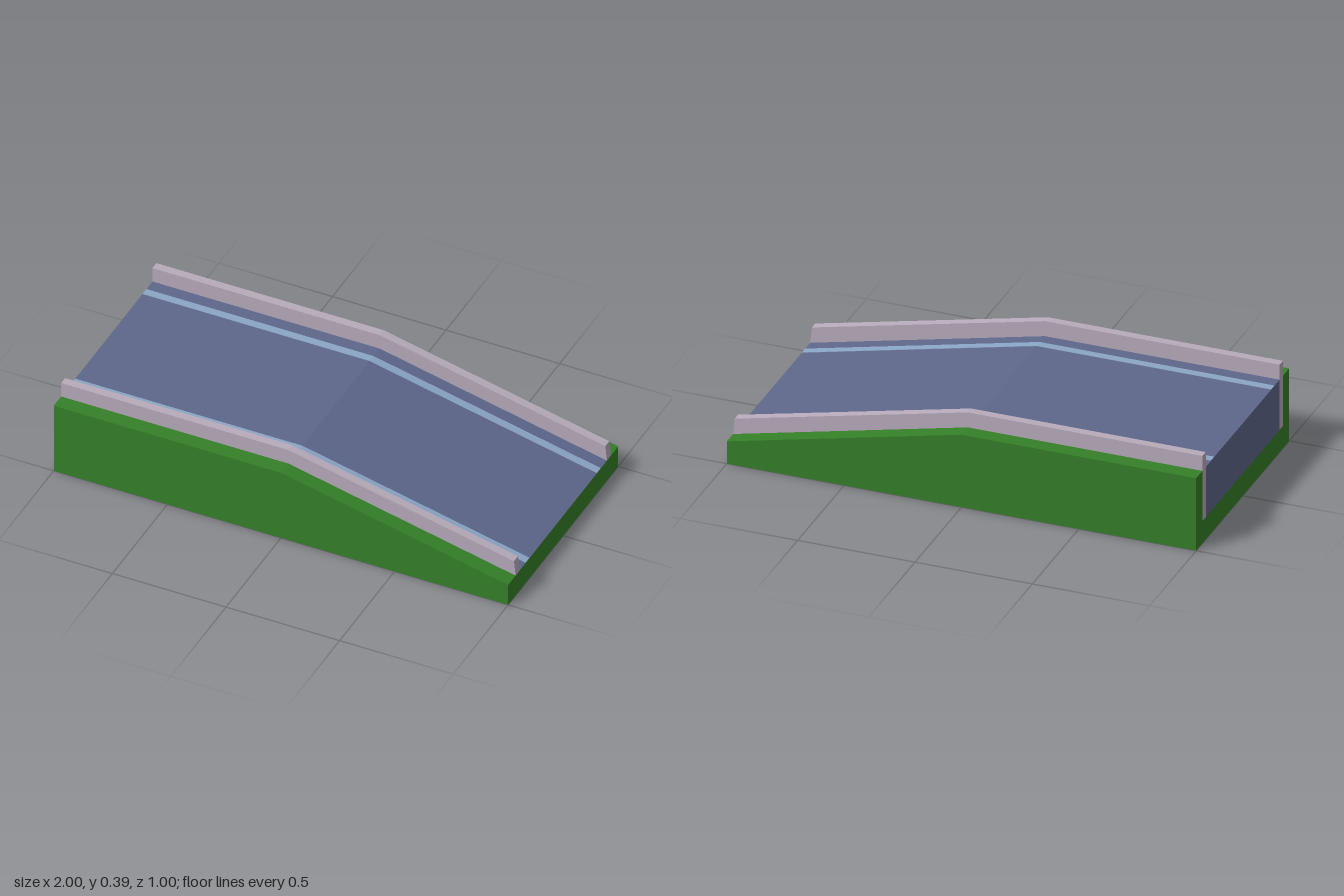
import * as THREE from 'three';

const GRASS = 0x358029, ROAD = 0x5d678a, STRIPE = 0x8aa5c6, RAIL = 0xb8abbb;
const HIGH = 0.325, LOW = 0.1; // deck height at the level end and at the foot of the ramp

// Extrudes a side profile of [x, y] points across the width from z0 to z1
function slab(name, color, profile, z0, z1) {
  const shape = new THREE.Shape(profile.map(([x, y]) => new THREE.Vector2(x, y)));
  const geometry = new THREE.ExtrudeGeometry(shape, { depth: z1 - z0, bevelEnabled: false });
  geometry.translate(0, 0, z0);
  const mesh = new THREE.Mesh(geometry, new THREE.MeshStandardMaterial({ color, flatShading: true }));
  mesh.name = name;
  return mesh;
}

export function createModel() {
  const group = new THREE.Group();
  group.name = 'rampRoad';

  // Grass bed under the road
  group.add(slab('grassBed', GRASS, [[-1, 0], [1, 0], [1, LOW], [-1, LOW]], -0.433, 0.433));

  // Road wedge: level half, then a slope down to the bed
  const road = [[-1, LOW], [1, LOW], [0, HIGH], [-1, HIGH]];
  group.add(slab('road', ROAD, road, -0.397, 0.397));

  const bank = [[-1, 0], [1, 0], [1, LOW], [0, HIGH], [-1, HIGH]];
  const rail = [[-1, LOW], [1, LOW], [0.993, 0.17], [0, 0.392], [-1, 0.392]];
  const lift = 0.0015;
  const stripe = [[-1, HIGH], [0, HIGH], [1, LOW], [1, LOW + lift], [0, HIGH + lift], [-1, HIGH + lift]];

  // Grass banks, guard rails and edge stripes on both sides
  for (const [side, s] of [['front', 1], ['back', -1]]) {
    const add = (part, color, profile, a, b) =>
      group.add(slab(side + part, color, profile, Math.min(s * a, s * b), Math.max(s * a, s * b)));
    add('GrassBank', GRASS, bank, 0.433, 0.5);
    add('GuardRail', RAIL, rail, 0.397, 0.433);
    add('EdgeStripe', STRIPE, stripe, 0.306, 0.341);
  }
  return group;
}
